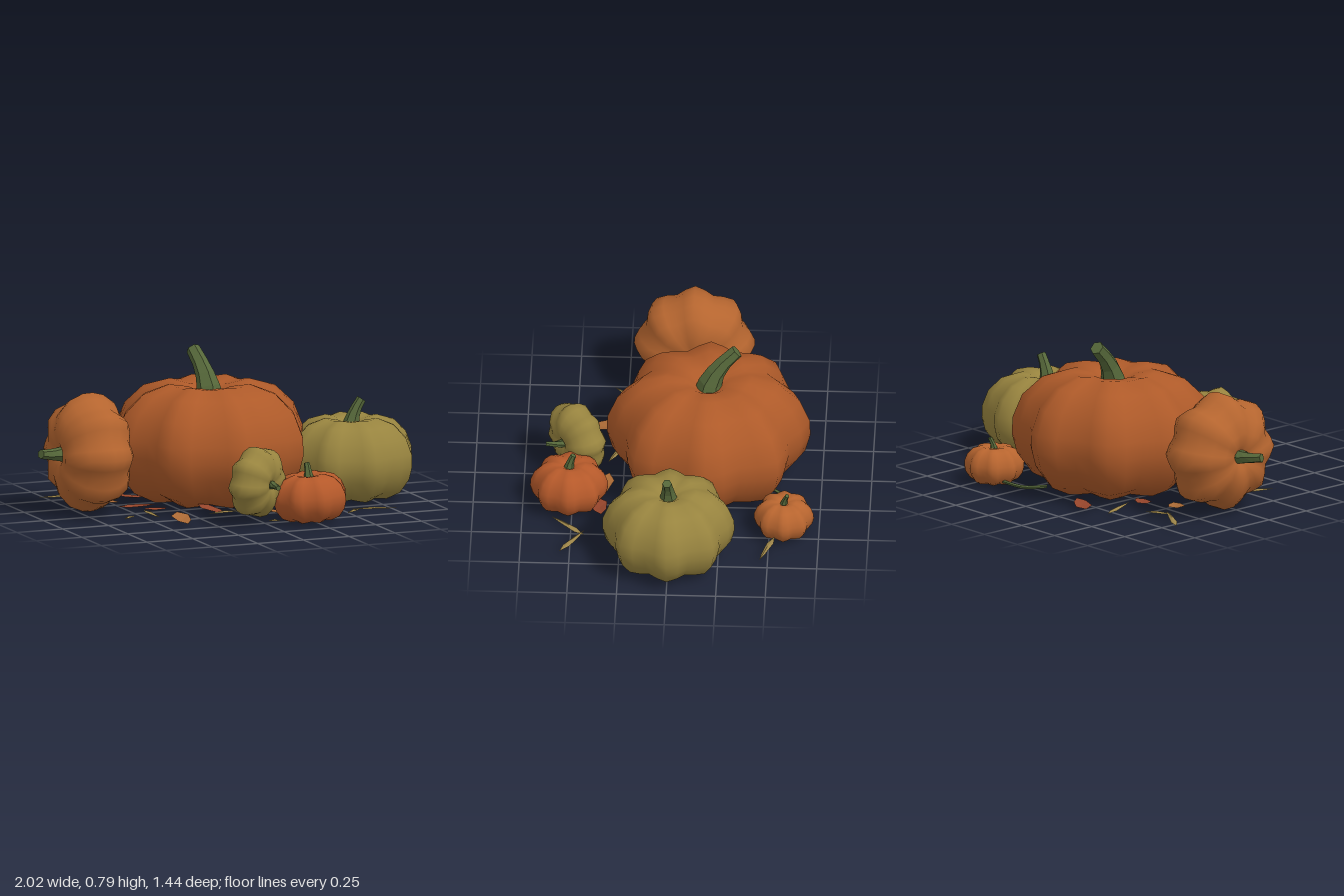
import * as THREE from 'three';
import { mergeVertices } from 'three/addons/utils/BufferGeometryUtils.js';

const V = (x, y, z) => new THREE.Vector3(x, y, z);
const UP = V(0, 1, 0);
const LOBES = 8;

// Half outline of a unit pumpkin, bottom to top: [radius, height]
const PROFILE = [
  [0, 0.06], [0.28, 0.01], [0.58, 0], [0.8, 0.09], [0.95, 0.26], [1, 0.42], [0.995, 0.57],
  [0.9, 0.77], [0.7, 0.93], [0.43, 1], [0.22, 0.97], [0.1, 0.9], [0, 0.86],
];

// Lathed body whose radius swells and sinks around the axis to form lobes
function bodyGeometry(radius, height) {
  let geo = new THREE.LatheGeometry(PROFILE.map(([r, y]) => new THREE.Vector2(r, y)), LOBES * 4);
  geo.deleteAttribute('uv');
  geo.deleteAttribute('normal');
  geo = mergeVertices(geo, 1e-4);
  const p = geo.attributes.position;
  for (let i = 0; i < p.count; i++) {
    const x = p.getX(i), y = p.getY(i), z = p.getZ(i);
    const groove = 0.065 * (1 - Math.cos(LOBES * Math.atan2(z, x))) * Math.min(1, Math.hypot(x, z) * 2);
    const s = radius * (1 - groove);
    p.setXYZ(i, x * s, ((y - 0.5) * (1 - groove * 0.4)) * height, z * s);
  }
  geo.computeVertexNormals();
  return geo;
}

// Six-sided tapering prism swept along a bent path
function stemGeometry(base, middle, tip, r0, r1) {
  const curve = new THREE.QuadraticBezierCurve3(base, middle, tip);
  const geo = new THREE.CylinderGeometry(1, 1, 1, 6, 4);
  const p = geo.attributes.position;
  const q = new THREE.Quaternion();
  for (let i = 0; i < p.count; i++) {
    const t = p.getY(i) + 0.5;
    const r = r1 + (r0 - r1) * (1 - t) ** 1.6;
    q.setFromUnitVectors(UP, curve.getTangent(t));
    const v = V(p.getX(i) * r, 0, p.getZ(i) * r).applyQuaternion(q).add(curve.getPoint(t));
    p.setXYZ(i, v.x, v.y, v.z);
  }
  geo.computeVertexNormals();
  return geo;
}

// Flat leaf or blade: a pointed outline with a raised or sunken midrib
function leafGeometry(from, to, width, fold, blunt) {
  const along = to.clone().sub(from);
  const side = V(-along.z, 0, along.x).normalize().multiplyScalar(width / 2);
  const at = (t, s, h) => from.clone().addScaledVector(along, t).addScaledVector(side, s).add(V(0, h, 0));
  const pts = [
    at(0, 0, 0), at(0.3, 1, 0), at(0.75, blunt, 0), at(1, 0, 0), at(0.7, -blunt * 0.9, 0), at(0.25, -0.9, 0),
    at(0.5, 0, fold),
  ];
  const geo = new THREE.BufferGeometry().setFromPoints(pts);
  const index = [];
  for (let i = 0; i < 6; i++) index.push(6, i, (i + 1) % 6);
  geo.setIndex(index);
  geo.computeVertexNormals();
  return geo;
}

export function createModel() {
  const model = new THREE.Group();
  model.name = 'pumpkinPile';
  const stemMat = new THREE.MeshStandardMaterial({ color: 0x56683a, flatShading: true });

  const add = (parent, name, geo, mat) => {
    const mesh = new THREE.Mesh(geo, mat);
    mesh.name = name;
    parent.add(mesh);
    return mesh;
  };

  // Pumpkins: centre, axis and stem tip are in model space
  const pumpkins = [
    { name: 'largePumpkin', color: 0xae5a29, c: V(-0.02, 0.312, -0.177), axis: UP, r: 0.513, h: 0.6,
      tip: V(-0.05, 0.757, -0.318), r0: 0.075, r1: 0.036 },
    { name: 'greenPumpkin', color: 0x98843f, c: V(0.68, 0.208, 0), axis: UP, r: 0.333, h: 0.41,
      tip: V(0.735, 0.5, 0.005), r0: 0.05, r1: 0.024 },
    { name: 'sidewaysPumpkin', color: 0xb5652f, c: V(-0.725, 0.315, -0.08), axis: V(-1, 0, 0), r: 0.304, h: 0.355,
      tip: V(-0.995, 0.33, -0.045), r0: 0.042, r1: 0.024 },
    { name: 'frontSmallPumpkin', color: 0xb5592a, c: V(0.238, 0.122, 0.517), axis: V(-0.06, 1, 0).normalize(),
      r: 0.196, h: 0.235, tip: V(0.23, 0.29, 0.495), r0: 0.03, r1: 0.015 },
    { name: 'backSmallPumpkin', color: 0xb8652f, c: V(0.44, 0.097, -0.573), axis: UP, r: 0.151, h: 0.186,
      tip: V(0.455, 0.232, -0.59), r0: 0.022, r1: 0.011 },
    { name: 'smallGreenPumpkin', color: 0x98843f, c: V(-0.035, 0.21, 0.49), axis: V(0.58, -0.08, 0.8).normalize(),
      r: 0.187, h: 0.2, tip: V(0.015, 0.2, 0.64), r0: 0.024, r1: 0.013 },
  ];
  for (const { name, color, c, axis, r, h, tip, r0, r1 } of pumpkins) {
    const group = new THREE.Group();
    group.name = name;
    model.add(group);
    const body = add(group, 'body', bodyGeometry(r, h), new THREE.MeshStandardMaterial({ color }));
    body.position.copy(c);
    body.quaternion.setFromUnitVectors(UP, axis);
    const base = c.clone().addScaledVector(axis, h * 0.36);
    const middle = base.clone().addScaledVector(axis, base.distanceTo(tip) * 0.4);
    add(group, 'stem', stemGeometry(base, middle, tip, r0, r1), stemMat);
  }

  // Vine trailing behind the small back pumpkin
  const vine = new THREE.CatmullRomCurve3([
    V(0.12, 0.03, -0.5), V(0.2, 0.025, -0.585), V(0.3, 0.03, -0.605), V(0.42, 0.03, -0.59),
  ]);
  add(model, 'vine', new THREE.TubeGeometry(vine, 10, 0.009, 5), stemMat);

  const litter = new THREE.Group();
  litter.name = 'groundLitter';
  model.add(litter);
  const leafMat = (color) => new THREE.MeshStandardMaterial({ color, side: THREE.DoubleSide, flatShading: true });
  const red = leafMat(0x96452b), amber = leafMat(0xab6a35), straw = leafMat(0x9c8448);

  // Broad leaves: [x0, z0, x1, z1, width, material]
  [
    [-0.55, -0.1, -0.38, -0.02, 0.09, red], [-0.48, 0.08, -0.34, 0.03, 0.08, red],
    [-0.38, 0.26, -0.39, 0.43, 0.1, amber], [-0.3, -0.61, -0.15, -0.54, 0.09, red],
    [-0.46, -0.34, -0.32, -0.29, 0.08, red], [0.04, 0.32, 0.2, 0.37, 0.09, amber],
    [0.22, 0.37, 0.38, 0.35, 0.09, red], [0.02, 0.12, 0.16, 0.2, 0.1, amber],
    [-0.2, 0.1, -0.1, 0.22, 0.1, red], [0.3, 0.1, 0.42, 0.2, 0.09, red],
    [-0.62, -0.28, -0.5, -0.2, 0.09, amber], [-0.12, -0.25, 0.0, -0.16, 0.1, red],
  ].forEach(([x0, z0, x1, z1, w, mat], i) => {
    const y = 0.02 + 0.012 * (i % 3);
    add(litter, 'leaf', leafGeometry(V(x0, y, z0), V(x1, 0.055 - y, z1), w, -0.008, 0.75), mat);
  });

  // Narrow dry blades: [x0, z0, x1, z1]
  [
    [-0.84, -0.48, -0.64, -0.37], [-0.7, -0.38, -0.53, -0.43], [-0.44, -0.59, -0.39, -0.4],
    [-0.5, 0.11, -0.48, 0.28], [-0.58, 0.17, -0.69, 0.32], [0.7, 0.55, 0.5, 0.43],
    [0.54, 0.43, 0.41, 0.6], [0.54, -0.53, 0.72, -0.46], [-0.21, 0.26, -0.06, 0.33],
    [0.39, 0.31, 0.53, 0.26], [0.0, 0.55, 0.015, 0.67],
  ].forEach(([x0, z0, x1, z1], i) => {
    const y = 0.022 + 0.014 * (i % 2);
    add(litter, 'blade', leafGeometry(V(x0, y, z0), V(x1, 0.06 - y, z1), 0.034, 0.008, 0.6), straw);
  });

  return model;
}
